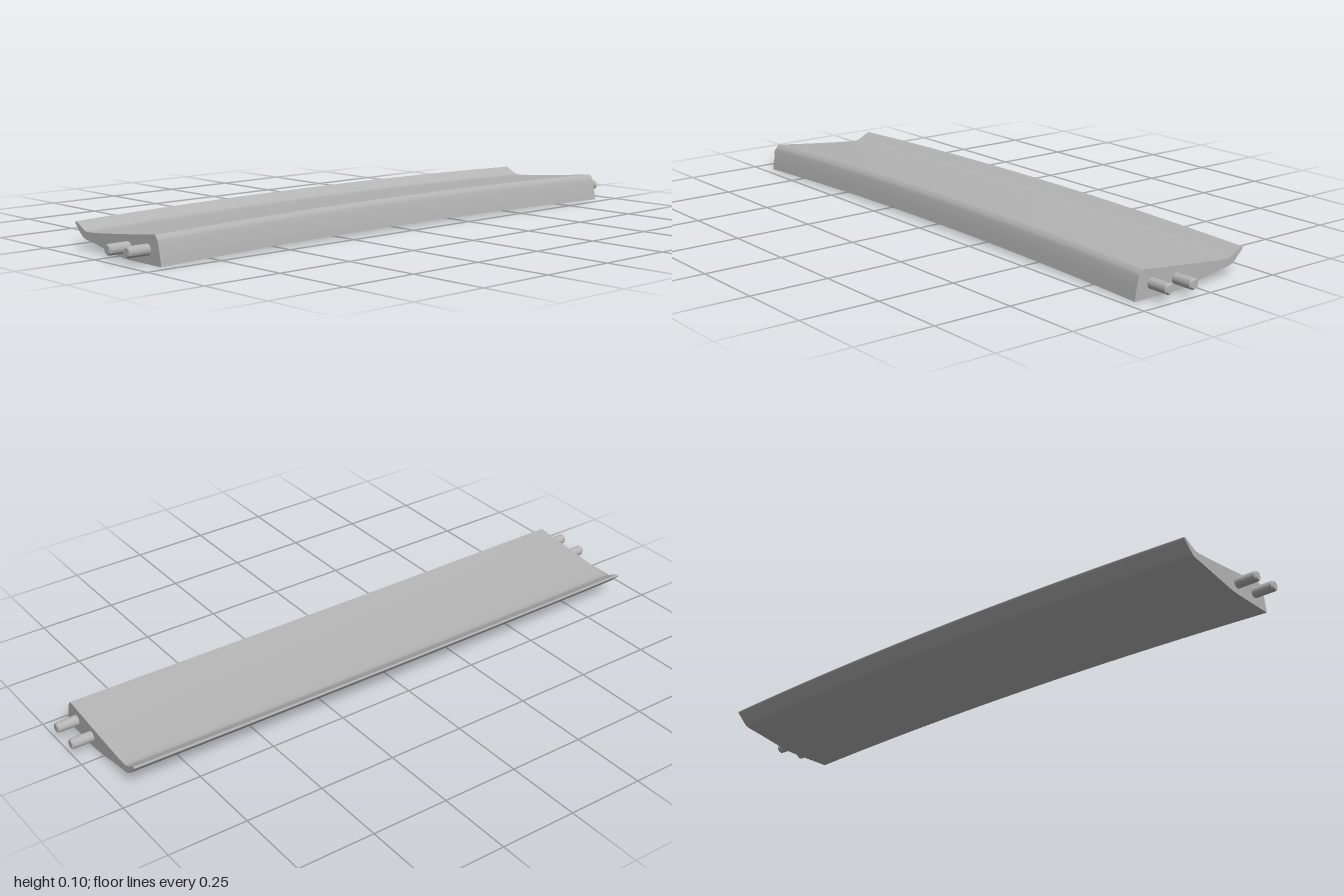
import * as THREE from 'three';
import { toCreasedNormals } from 'three/addons/utils/BufferGeometryUtils.js';

const HALF = 0.93; // half length of the blade without its pegs

// Smooth runs of the end profile as [z, y]; sharp edges lie between runs
const RUNS = [
  [[0.217, 0], [0.211, 0.036], [0.204, 0.066], [0.199, 0.077], [0.191, 0.086]],
  [[0.191, 0.086], [0.1, 0.0755], [0, 0.065], [-0.08, 0.057], [-0.135, 0.0535], [-0.155, 0.058], [-0.178, 0.07], [-0.192, 0.077]],
  [[-0.192, 0.077], [-0.197, 0.0775], [-0.199, 0.075], [-0.196, 0.069]],
  [[-0.196, 0.069], [-0.182, 0.056], [-0.167, 0.041], [-0.15, 0.032], [-0.1, 0.024], [0, 0.007], [0.04, 0.0015], [0.065, 0]],
  [[0.065, 0], [0.217, 0]],
].map((run) => {
  const pts = run.map(([z, y]) => new THREE.Vector2(z, y));
  return pts.length > 2 ? new THREE.SplineCurve(pts).getPoints((pts.length - 1) * 3) : pts;
});

// Sweep one profile run along x; the middle bows backward and upward
function sweep(run, segments = 24) {
  const pos = [], index = [], n = run.length;
  for (let i = 0; i <= segments; i++) {
    const t = (i / segments) * 2 - 1;
    const bow = 1 - t * t;
    for (const p of run) pos.push(t * HALF, p.y + 0.0105 * bow, p.x - 0.018 * bow);
  }
  for (let i = 0; i < segments; i++) {
    for (let j = 0; j < n - 1; j++) {
      const a = i * n + j, b = a + n;
      index.push(a, b, b + 1, a, b + 1, a + 1);
    }
  }
  const g = new THREE.BufferGeometry();
  g.setAttribute('position', new THREE.Float32BufferAttribute(pos, 3));
  g.setIndex(index);
  g.computeVertexNormals();
  return g;
}

export function createModel() {
  const model = new THREE.Group();
  model.name = 'curvedBlade';
  const grey = new THREE.MeshStandardMaterial({ color: 0xb4b4b4 });
  grey.name = 'grey';
  const add = (geometry, name) => {
    const mesh = new THREE.Mesh(geometry, grey);
    mesh.name = name;
    model.add(mesh);
    return mesh;
  };

  // Blade skin
  const names = ['frontFace', 'topFace', 'rearLip', 'underside', 'flatBase'];
  RUNS.forEach((run, i) => add(sweep(run), names[i]));

  // Chamfered peg, turned about its own axis
  const peg = toCreasedNormals(new THREE.LatheGeometry(
    [[0.0165, -0.01], [0.0165, 0.065], [0.0125, 0.07], [0, 0.07]].map(([r, h]) => new THREE.Vector2(r, h)), 24), 0.5);

  const outline = RUNS.flatMap((run) => run.slice(0, -1));
  for (const side of [1, -1]) {
    const label = side > 0 ? 'left' : 'right';
    // End cap
    const shape = new THREE.Shape(outline.map((p) => new THREE.Vector2(-side * p.x, p.y)));
    const cap = add(new THREE.ShapeGeometry(shape), label + 'EndCap');
    cap.rotation.y = side * Math.PI / 2;
    cap.position.x = side * HALF;
    // Two mounting pegs
    [[0.155, 0.041, 'FrontPeg'], [0.063, 0.036, 'RearPeg']].forEach(([z, y, name]) => {
      const mesh = add(peg, label + name);
      mesh.rotation.z = -side * Math.PI / 2;
      mesh.position.set(side * HALF, y, z);
    });
  }
  return model;
}
